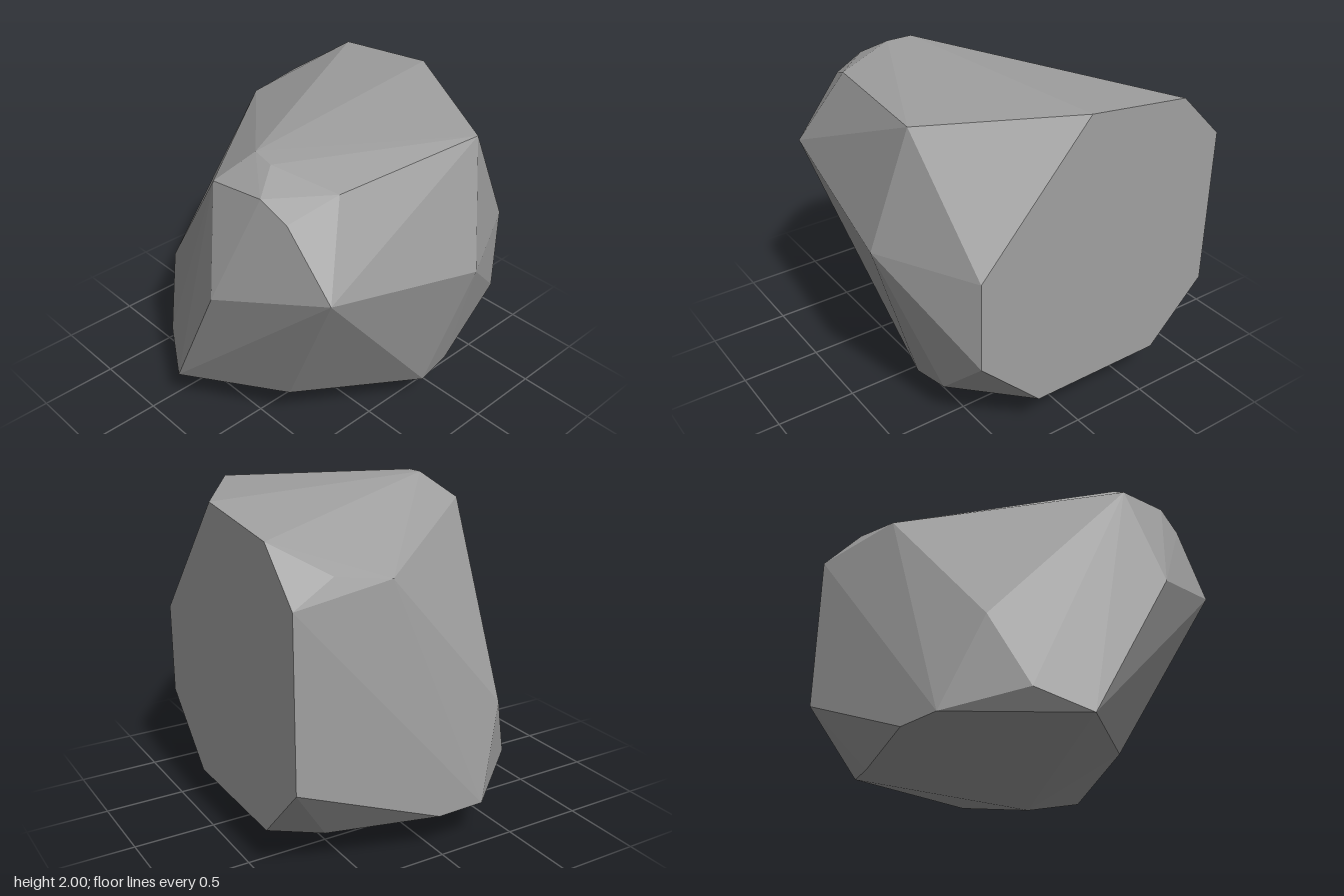
import * as THREE from 'three';
import { ConvexGeometry } from 'three/addons/geometries/ConvexGeometry.js';

// Corners of the faceted boulder, grouped by region
const corners = {
  flatBack: [
    [-0.03, 2, -0.94], [-0.7, 1.92, -0.94], [-0.99, 1.63, -0.94], [-0.99, 0.63, -0.94],
    [-0.62, 0.25, -0.94], [0.26, 0.25, -0.94], [0.67, 0.65, -0.94], [0.67, 1.21, -0.94],
  ],
  crown: [
    [-0.92, 1.69, -0.31], [-0.91, 1.75, -0.66], [0.14, 2, 0.575], [0.29, 1.99, 0.6],
    [0.8, 1.97, -0.47], [0.67, 1.92, 0.465],
  ],
  frontAndSides: [
    [0.01, 1.84, 0.77], [0.39, 1.89, 0.76], [0.57, 1.805, 0.74], [0.875, 1.44, 0.715],
    [0.985, 1.21, -0.335], [0.155, 1.21, 0.945], [-0.845, 0.8, 0.49], [-0.68, 0.37, 0.675],
  ],
  base: [
    [-0.39, 0.255, 0.85], [-0.99, 0.255, 0.28], [-0.99, 0.25, -0.02], [-0.755, 0.21, -0.64],
    [0.66, 0.255, -0.535], [0.69, 0.23, -0.29], [0.245, 0.28, 0.46], [0.005, 0, -0.055],
  ],
};

export function createModel() {
  const group = new THREE.Group();
  group.name = 'boulder';
  const stone = new THREE.MeshStandardMaterial({ color: 0xa0a0a0 });
  stone.name = 'stone grey';

  // The convex hull gives flat, hard-edged facets
  const points = Object.values(corners).flat().map((p) => new THREE.Vector3(...p));
  const rock = new THREE.Mesh(new ConvexGeometry(points), stone);
  rock.name = 'rock';
  group.add(rock);
  return group;
}
